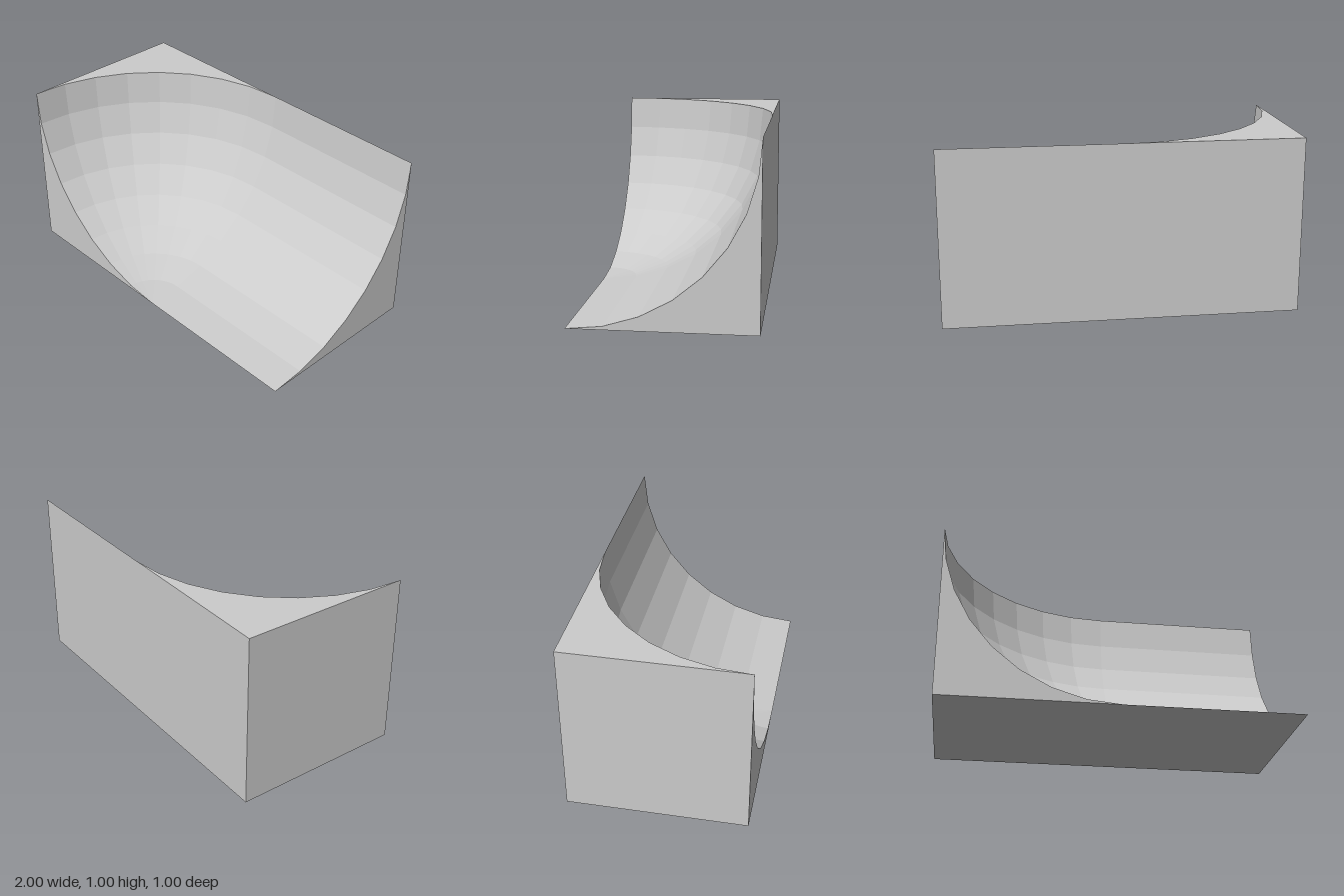
import * as THREE from 'three';

const SEGMENTS = 8;
const STEP = Math.PI / 2 / SEGMENTS;

// Quarter-sphere hollow that runs on into a straight quarter-round trough
function coveGeometry() {
  const point = (c, r) => {
    const a = Math.min(c, SEGMENTS) * STEP;
    const radius = Math.sin(r * STEP);
    const shift = c > SEGMENTS ? 1 : 0;
    return [shift - Math.cos(a) * radius, 1 - Math.cos(r * STEP), 0.5 - Math.sin(a) * radius];
  };
  const positions = [];
  for (let c = 0; c <= SEGMENTS; c++) {
    for (let r = 0; r < SEGMENTS; r++) {
      // The ball's lowest ring closes to a point, so it needs one triangle only
      if (r > 0 || c === SEGMENTS) positions.push(...point(c, r), ...point(c + 1, r), ...point(c + 1, r + 1));
      positions.push(...point(c, r), ...point(c + 1, r + 1), ...point(c, r + 1));
    }
  }
  const geometry = new THREE.BufferGeometry();
  geometry.setAttribute('position', new THREE.Float32BufferAttribute(positions, 3));
  geometry.computeVertexNormals();
  return geometry;
}

// Flat corner piece left over outside a quarter circle
function spandrelGeometry() {
  const points = [new THREE.Vector2(0, 0)];
  for (let i = 0; i <= SEGMENTS; i++) {
    points.push(new THREE.Vector2(1 - Math.sin(i * STEP), 1 - Math.cos(i * STEP)));
  }
  return new THREE.ShapeGeometry(new THREE.Shape(points));
}

export function createModel() {
  const group = new THREE.Group();
  group.name = 'coveBlock';
  const material = new THREE.MeshStandardMaterial({ color: 0xcccccc, flatShading: true });
  const add = (name, geometry) => {
    const mesh = new THREE.Mesh(geometry, material);
    mesh.name = name;
    group.add(mesh);
  };
  const quarter = Math.PI / 2;

  add('coveSurface', coveGeometry());

  // Flat faces cut by the cove
  add('frontFace', spandrelGeometry().translate(-1, 0, 0.5));
  add('leftEndFace', spandrelGeometry().rotateZ(quarter).rotateY(quarter).translate(1, 0, -0.5));
  add('topFace', spandrelGeometry().rotateZ(-quarter).rotateX(-quarter).translate(-1, 1, -0.5));

  // Full rectangular faces
  add('backFace', new THREE.PlaneGeometry(2, 1).rotateY(Math.PI).translate(0, 0.5, -0.5));
  add('rightEndFace', new THREE.PlaneGeometry(1, 1).rotateY(-quarter).translate(-1, 0.5, 0));
  add('bottomFace', new THREE.PlaneGeometry(2, 1).rotateX(quarter));

  return group;
}
